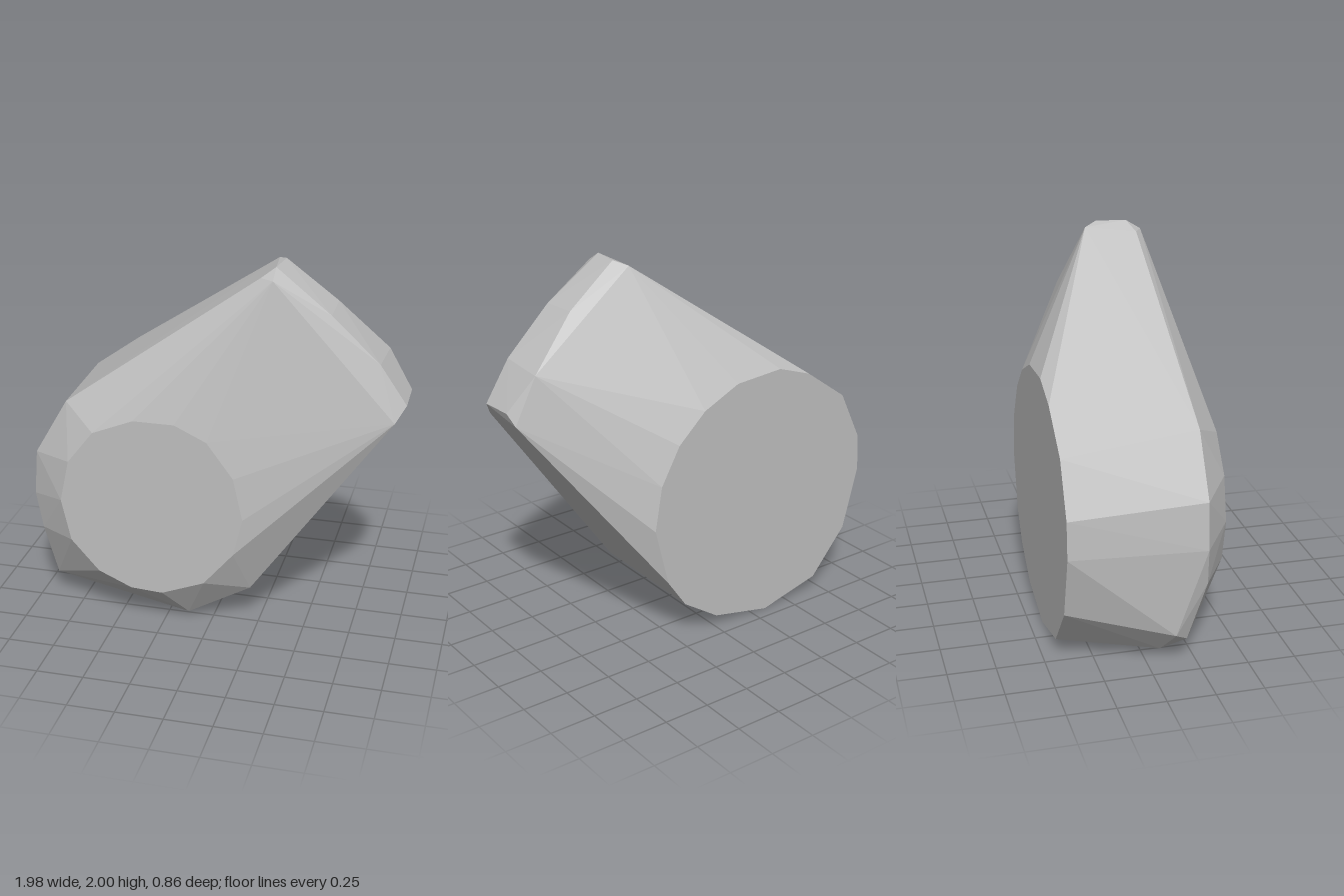
import * as THREE from 'three';
import { ConvexGeometry } from 'three/addons/geometries/ConvexGeometry.js';

// A faceted convex block: round front and back faces, sheared into a raised wedge.
export function createModel() {
  const group = new THREE.Group();
  const grey = new THREE.MeshStandardMaterial({ color: 0xbfbfbf });
  grey.name = 'grey';

  const ring = (z, pts) => pts.map(([x, y]) => new THREE.Vector3(x, y, z));

  // flat front face
  const front = ring(0.43, [
    [-0.6, 1.11], [-0.38, 1.2], [-0.16, 1.2], [0.01, 1.12], [0.15, 0.93], [0.2, 0.7], [0.15, 0.49],
    [-0.01, 0.3], [-0.24, 0.21], [-0.41, 0.22], [-0.59, 0.3], [-0.74, 0.47], [-0.79, 0.7], [-0.74, 0.93],
  ]);

  // flat, larger back face
  const back = ring(-0.43, [
    [-0.4, 1.4], [-0.12, 1.38], [0.09, 1.28], [0.25, 1.13], [0.36, 0.93], [0.4, 0.69], [0.32, 0.37],
    [0.21, 0.21], [0, 0.07], [-0.34, 0], [-0.69, 0.09], [-0.9, 0.34], [-0.99, 0.68], [-0.98, 0.88],
    [-0.85, 1.15], [-0.6, 1.33],
  ]);

  // shoulder where the sides turn towards the front face
  const shoulder = [
    [-0.79, 1.21, 0.28], [-0.97, 0.9, 0.28], [-0.99, 0.65, 0.28], [-0.95, 0.45, 0.29],
    [-0.96, 0.18, 0.13], [-0.91, 0.13, 0.2], [-0.84, 0.05, 0.08], [-0.13, 0.03, 0.29], [0.21, 0.22, 0.28],
  ];

  // narrow raised edge
  const tip = [
    [0.33, 2, 0.03], [0.31, 2, 0.19], [0.31, 1.95, 0.27], [0.24, 1.95, 0.23], [0.28, 1.98, -0.04],
    [0.6, 1.79, 0.01], [0.6, 1.78, 0.22], [0.86, 1.53, -0.07], [0.85, 1.54, 0.21],
    [0.99, 1.34, 0], [0.99, 1.33, 0.2], [0.94, 1.25, 0.26], [0.97, 1.28, -0.05],
  ];

  const points = [...front, ...back, ...[...shoulder, ...tip].map((p) => new THREE.Vector3(...p))];
  const block = new THREE.Mesh(new ConvexGeometry(points), grey);
  block.name = 'facetedBlock';
  group.add(block);
  return group;
}
